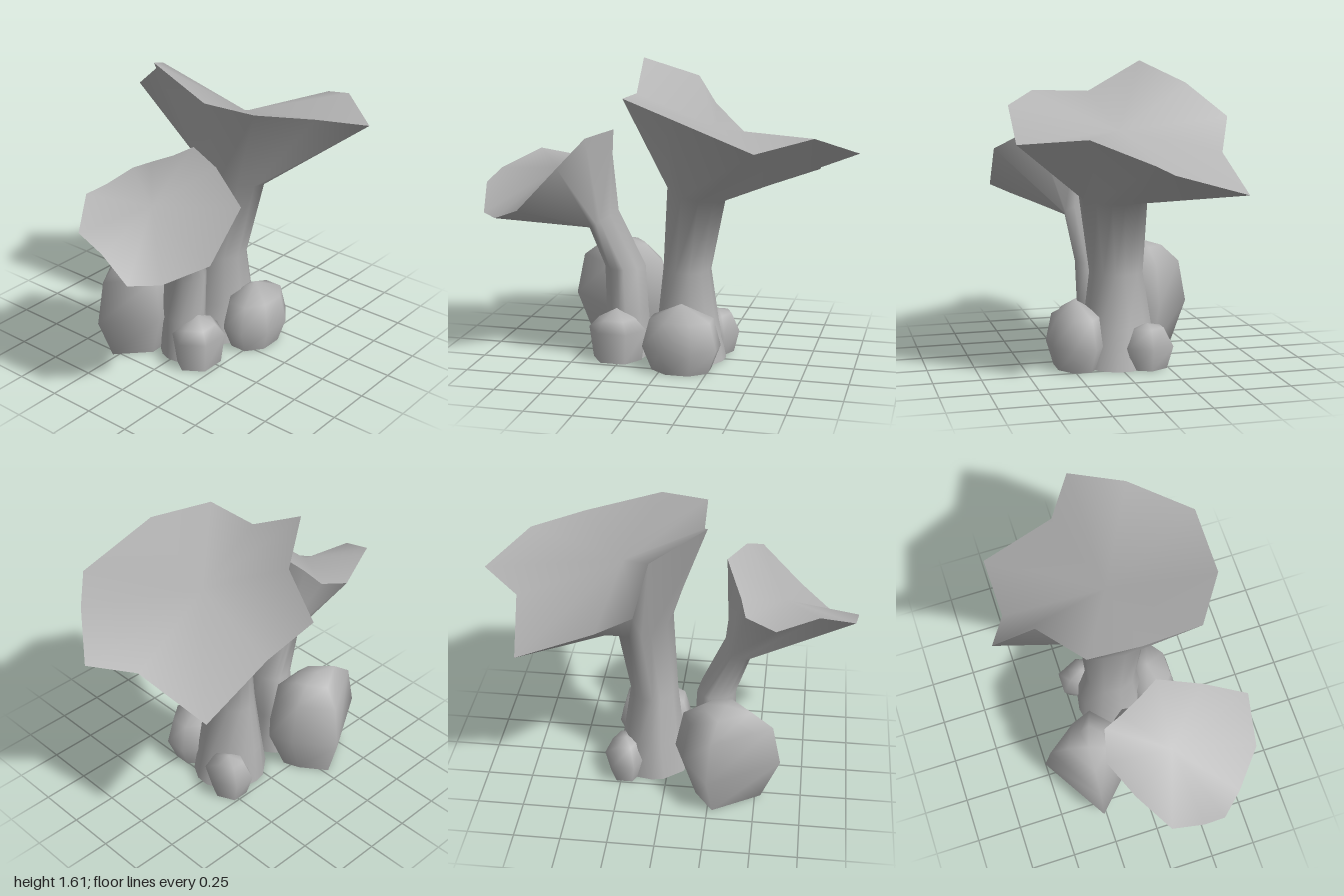
import * as THREE from 'three';

// Double-sided because the stems and buds are open at the ground
const grey = new THREE.MeshStandardMaterial({ color: 0xb4b4b4, side: THREE.DoubleSide });
grey.name = 'stone grey';

function buildGeometry(points, index) {
  const g = new THREE.BufferGeometry();
  g.setAttribute('position', new THREE.Float32BufferAttribute(points.flat(), 3));
  g.setIndex(index);
  g.computeVertexNormals();
  return g;
}

// Smooth skin over a stack of rings (bottom to top), optionally closed by an apex
function loft(rings, apex) {
  const n = rings[0].length, index = [];
  const points = rings.flat();
  for (let r = 0; r < rings.length - 1; r++) {
    for (let i = 0; i < n; i++) {
      const j = (i + 1) % n, a = r * n, b = a + n;
      index.push(a + i, b + i, a + j, b + i, b + j, a + j);
    }
  }
  if (apex) {
    const a = (rings.length - 1) * n;
    for (let i = 0; i < n; i++) index.push(points.length, a + (i + 1) % n, a + i);
    points.push(apex);
  }
  return buildGeometry(points, index);
}

function makeMesh(name, geometry) {
  const mesh = new THREE.Mesh(geometry, grey);
  mesh.name = name;
  return mesh;
}

// Funnel mushroom: rim points [x, y, z], stem rings [cx, cy, cz, rx, rz, tilt]
function mushroom(name, rim, centre, stem) {
  const group = new THREE.Group();
  group.name = name;
  const top = stem[stem.length - 1], turn = Math.PI * 2;
  let last = -Infinity;
  const rimAngles = rim.map(([x, , z]) => {
    let a = Math.atan2(z - top[2], x - top[0]);
    while (a < last) a += turn;
    return (last = a);
  });
  // Stem vertices lie between even spacing and the rim directions
  const angles = rimAngles.map((a, i) => (a + rimAngles[0] + i * turn / rim.length) / 2);
  const rings = stem.map(([cx, cy, cz, rx, rz, tilt]) => angles.map(a => {
    const dx = Math.cos(a) * rx;
    return [cx + dx, cy + dx * tilt, cz + Math.sin(a) * rz];
  }));
  group.add(makeMesh('stemAndUnderside', loft([...rings, rim])));
  group.add(makeMesh('capTop', loft([rim], centre)));
  return group;
}

// Rounded low-poly bud: levels are [height, scale] of the outline
function bud(name, cx, cz, outline, levels, height) {
  const rings = levels.map(([y, s]) => outline.map(([x, z]) => [cx + x * s, y, cz + z * s]));
  return makeMesh(name, loft(rings, [cx, height, cz]));
}

function ovalOutline(rx, rz, sides, start) {
  return Array.from({ length: sides }, (_, i) => {
    const a = start + i * Math.PI * 2 / sides;
    return [Math.cos(a) * rx, Math.sin(a) * rz];
  });
}

export function createModel() {
  const model = new THREE.Group();
  model.name = 'mushroomCluster';

  // Tall mushroom with a wide, tilted cap
  model.add(mushroom('largeMushroom', [
    [0.11, 1.32, -0.62], [0.32, 1.15, -0.52], [0.73, 0.98, -0.52], [0.80, 1.10, -0.11],
    [1.00, 1.17, 0.04], [0.80, 1.28, 0.31], [0.55, 1.24, 0.61], [0.11, 1.40, 0.57],
    [-0.16, 1.46, 0.39], [-0.17, 1.45, 0.08], [-0.21, 1.61, -0.22], [0.06, 1.50, -0.40],
  ], [0.25, 1.27, 0.02], [
    [0.09, 0, -0.01, 0.21, 0.2, 0],
    [0.09, 0.22, -0.015, 0.165, 0.185, 0],
    [0.085, 0.5, -0.01, 0.13, 0.145, 0],
    [0.14, 0.92, 0.02, 0.155, 0.185, -0.2],
  ]));

  // Shorter mushroom leaning outwards
  model.add(mushroom('smallMushroom', [
    [-0.29, 1.26, 0.11], [-0.38, 1.24, 0.33], [-0.46, 1.12, 0.55], [-0.68, 0.89, 0.54],
    [-0.86, 0.81, 0.39], [-0.97, 0.81, 0.27], [-1.00, 0.95, 0.14], [-0.98, 1.00, -0.03],
    [-0.79, 1.10, -0.16], [-0.57, 1.05, -0.24], [-0.41, 1.10, -0.20],
    [-0.38, 1.15, -0.10], [-0.335, 1.20, 0.01],
  ], [-0.60, 1.04, 0.10], [
    [-0.24, 0, 0, 0.13, 0.14, 0],
    [-0.25, 0.25, 0, 0.115, 0.125, 0],
    [-0.255, 0.5, 0.02, 0.11, 0.115, 0],
    [-0.365, 0.76, 0.05, 0.075, 0.12, 0.6],
  ]));

  // Young buds around the stems
  model.add(bud('frontBud', 0.105, 0.215, ovalOutline(0.205, 0.152, 8, Math.PI / 8),
    [[0, 0.8], [0.13, 1.06], [0.28, 0.86]], 0.36));
  model.add(bud('frontSmallBud', -0.275, 0.12, ovalOutline(0.16, 0.14, 6, 0),
    [[0, 0.85], [0.17, 1], [0.23, 0.65]], 0.285));
  model.add(bud('sideBud', 0.23, -0.145, ovalOutline(0.12, 0.145, 6, 0),
    [[0, 0.75], [0.12, 1], [0.22, 0.62]], 0.24));

  // Boxy bud at the back
  model.add(bud('backBud', -0.33, -0.27, [
    [-0.30, -0.01], [0.08, -0.24], [0.23, -0.04],
    [0.28, 0.09], [0.15, 0.21], [-0.06, 0.22],
  ], [[0, 0.67], [0.24, 1], [0.47, 0.84], [0.56, 0.45]], 0.59));

  return model;
}
